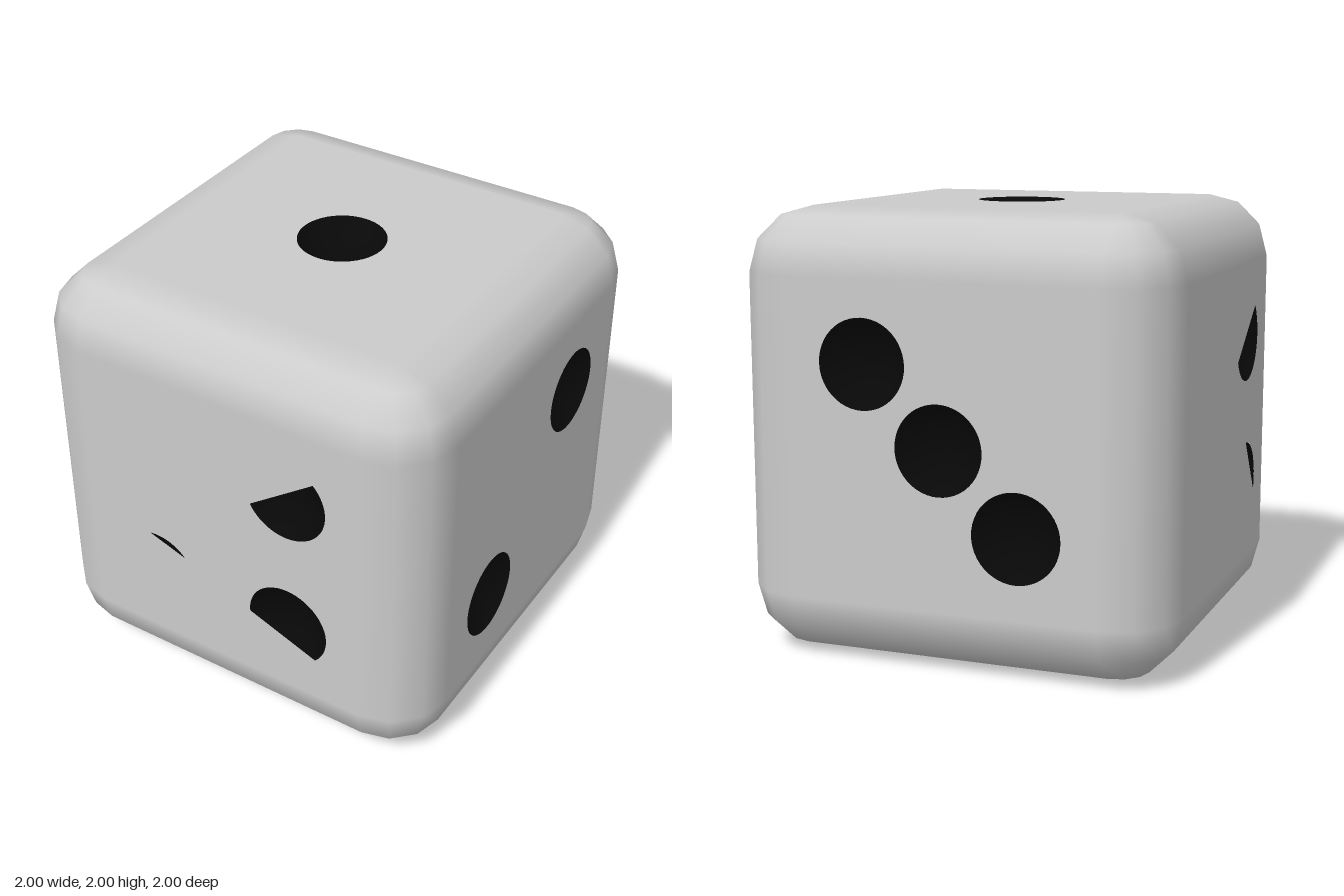
import * as THREE from 'three';
import { mergeGeometries } from 'three/addons/utils/BufferGeometryUtils.js';

const FLAT = 0.71;          // half size of each flat face
const BEVEL = 1 - FLAT;     // radius of the rounded edges
const PIP = 0.2;            // pip radius
const DEPTH = 0.1;          // pip depth
const QUARTER = Math.PI / 2;

const grey = new THREE.MeshStandardMaterial({ color: 0xcccccc });
const black = new THREE.MeshStandardMaterial({ color: 0x080808, side: THREE.DoubleSide });

// Each pip: x, y on its face, then the open arc in degrees (whole circle if absent).
// Partly covered pips are cut off along the chord of their arc.
const faces = [
  { name: 'front', rot: [0, 0], pips: [[0.35, 0.35, -153, 45], [0.35, -0.35, -45, 183], [-0.35, -0.35, 41, 101]] },
  { name: 'back', rot: [0, Math.PI], pips: [[-0.35, 0.35], [0, 0], [0.35, -0.35]] },
  { name: 'left', rot: [0, QUARTER], pips: [[0.35, 0.35], [-0.35, -0.35]] },
  { name: 'right', rot: [0, -QUARTER], pips: [[0.35, 0.35, -153, 45], [0.35, -0.35, -18, 86]] },
  { name: 'top', rot: [-QUARTER, 0], pips: [[0, 0]] },
  {
    name: 'bottom', rot: [QUARTER, 0],
    pips: [[0, -0.35], [0.45, -0.35, 105, 304], [-0.45, -0.35, -116, 26], [0.45, 0.35, 85, 167], [0, 0.35, 0, 138]],
  },
];

// Flat face with pip openings, plus the dark bowls behind them
function makeFace({ name, rot, pips }) {
  const group = new THREE.Group();
  group.name = name + 'Face';
  const shape = new THREE.Shape([[-1, -1], [1, -1], [1, 1], [-1, 1]]
    .map(([x, y]) => new THREE.Vector2(x * FLAT, y * FLAT)));

  // Shallow spherical bowl profile
  const R = (PIP * PIP + DEPTH * DEPTH) / (2 * DEPTH);
  const span = Math.asin(PIP / R);
  const profile = [];
  for (let i = 0; i <= 8; i++) {
    const a = (span * i) / 8;
    profile.push(new THREE.Vector2(R * Math.sin(a), R - DEPTH - R * Math.cos(a)));
  }

  for (const [x, y, from = 0, to = 360] of pips) {
    const hole = new THREE.Path();
    hole.absarc(x, y, PIP, THREE.MathUtils.degToRad(from), THREE.MathUtils.degToRad(to), false);
    hole.closePath();
    shape.holes.push(hole);
    const bowl = new THREE.Mesh(new THREE.LatheGeometry(profile, 48).rotateX(QUARTER), black);
    bowl.name = 'pip';
    bowl.position.set(x, y, 1);
    group.add(bowl);
  }
  const panel = new THREE.Mesh(new THREE.ShapeGeometry(shape, 24).translate(0, 0, 1), grey);
  panel.name = name + 'Panel';
  group.add(panel);
  group.rotation.set(rot[0], rot[1], 0);
  return group;
}

// Twelve rounded edges and eight rounded corners
function makeBevels() {
  const parts = [];
  for (let k = 0; k < 4; k++) {
    const sx = k < 2 ? FLAT : -FLAT;
    const sz = k === 0 || k === 3 ? FLAT : -FLAT;
    const edge = () => new THREE.CylinderGeometry(BEVEL, BEVEL, 2 * FLAT, 3, 1, true, k * QUARTER, QUARTER)
      .translate(sx, 0, sz);
    parts.push(edge(), edge().rotateX(QUARTER), edge().rotateZ(QUARTER));
    for (const top of [true, false]) {
      parts.push(new THREE.SphereGeometry(BEVEL, 3, 3, (k + 1) * QUARTER, QUARTER, top ? 0 : QUARTER, QUARTER)
        .translate(sx, top ? FLAT : -FLAT, sz));
    }
  }
  const mesh = new THREE.Mesh(mergeGeometries(parts), grey);
  mesh.name = 'roundedEdges';
  return mesh;
}

export function createModel() {
  const die = new THREE.Group();
  die.name = 'die';
  die.add(makeBevels(), ...faces.map(makeFace));
  die.position.y = 1;
  const model = new THREE.Group();
  model.name = 'model';
  model.add(die);
  return model;
}
